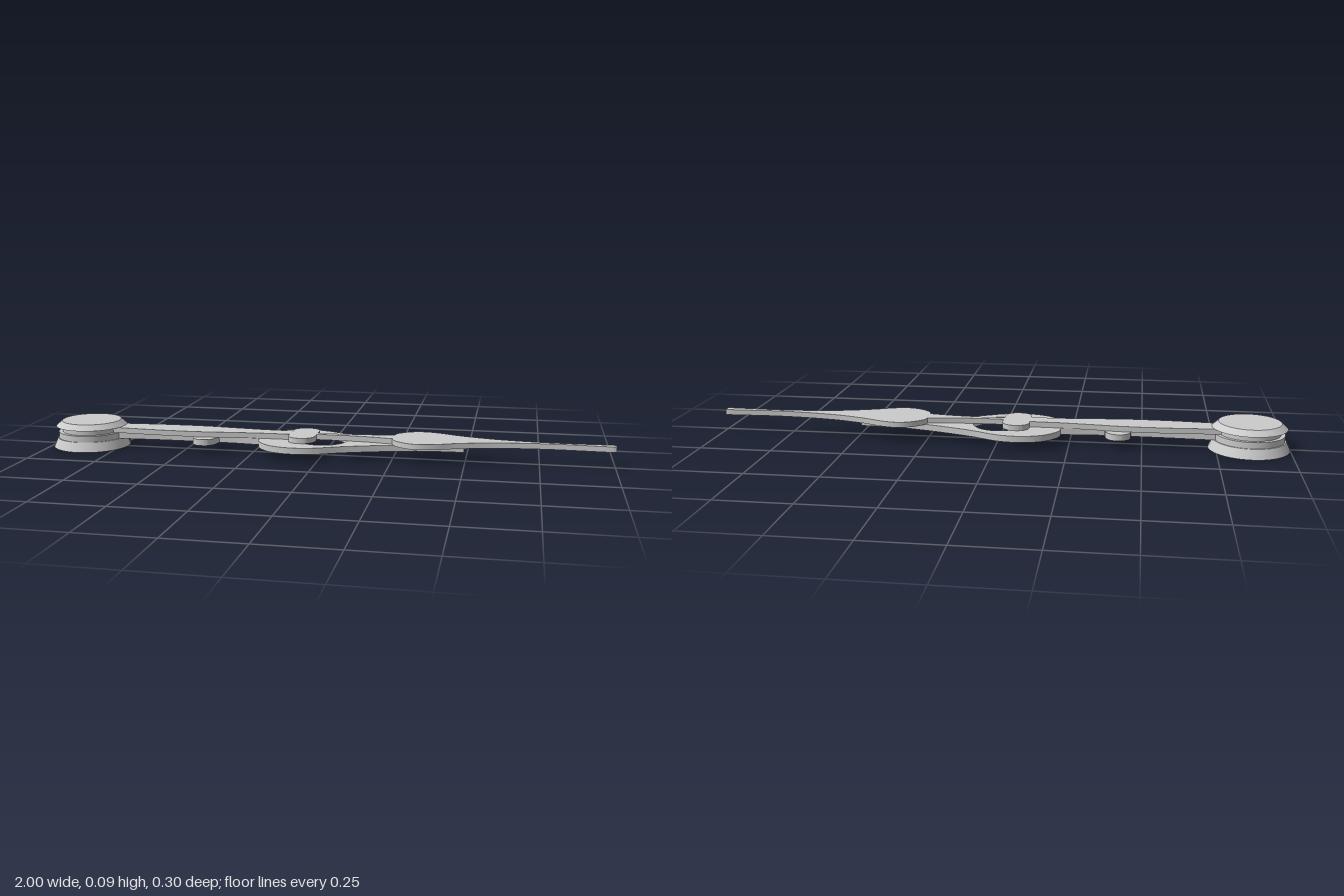
import * as THREE from 'three';
import { toCreasedNormals } from 'three/addons/utils/BufferGeometryUtils.js';

const material = new THREE.MeshStandardMaterial({ color: 0xcccccc });
const HUB_X = -0.863;

function addMesh(parent, name, geometry) {
  const mesh = new THREE.Mesh(toCreasedNormals(geometry, 0.6), material);
  mesh.name = name;
  parent.add(mesh);
  return mesh;
}

// Symmetric outline from [x, half width] runs; each run is a smooth curve, joints stay sharp
function mirroredShape(runs) {
  const edge = [];
  for (const run of runs) {
    const curve = new THREE.SplineCurve(run.map(([x, w]) => new THREE.Vector2(x, w)));
    edge.push(...curve.getPoints(run.length > 2 ? run.length * 5 : 1).slice(edge.length ? 1 : 0));
  }
  const back = edge.map((p) => new THREE.Vector2(p.x, -p.y));
  return new THREE.Shape([...back, ...edge.reverse()]);
}

// Flat plate lying in the xz plane between two heights
function plate(shape, y0, y1) {
  const geometry = new THREE.ExtrudeGeometry(shape, { depth: y1 - y0, bevelEnabled: false, curveSegments: 32 });
  return geometry.rotateX(-Math.PI / 2).translate(0, y0, 0);
}

// Round hub layer with separate bottom and top radius
function hubDisc(y0, y1, r0, r1) {
  return new THREE.CylinderGeometry(r1, r0, y1 - y0, 48).translate(HUB_X, (y0 + y1) / 2, 0);
}

export function createModel() {
  const model = new THREE.Group();
  model.name = 'clockHands';

  // Hub: flared base, collars and bevelled cap
  const hub = new THREE.Group();
  hub.name = 'hub';
  addMesh(hub, 'hubBase', hubDisc(0, 0.033, 0.138, 0.123));
  addMesh(hub, 'hourCollar', hubDisc(0.033, 0.055, 0.119, 0.119));
  addMesh(hub, 'minuteCollar', hubDisc(0.055, 0.075, 0.105, 0.105));
  addMesh(hub, 'hubCap', hubDisc(0.075, 0.094, 0.127, 0.106));
  model.add(hub);

  // Hour hand: slim shaft, small knuckle, pierced teardrop and pointed tip
  const hourShape = mirroredShape([
    [[HUB_X, 0.03], [-0.74, 0.03], [-0.6, 0.024], [-0.462, 0.022]],
    [[-0.462, 0.022], [-0.458, 0.06], [-0.435, 0.083], [-0.4, 0.083], [-0.378, 0.06], [-0.372, 0.022]],
    [[-0.372, 0.022], [-0.3, 0.025], [-0.22, 0.034]],
    [[-0.22, 0.034], [-0.215, 0.07], [-0.175, 0.12], [-0.12, 0.145], [-0.06, 0.15], [0, 0.137],
      [0.08, 0.1], [0.18, 0.065], [0.26, 0.042], [0.36, 0.02], [0.495, 0.012]],
  ]);
  const hole = new THREE.Path();
  hole.absarc(0, 0, 0.09, 0, Math.PI * 2, true);
  hourShape.holes.push(hole);
  addMesh(model, 'hourHand', plate(hourShape, 0.033, 0.055));

  // Minute hand: tapered arm, cross lobe, thin neck, leaf and long tip
  const minuteShape = mirroredShape([
    [[HUB_X, 0.035], [-0.74, 0.04], [-0.6, 0.049], [-0.45, 0.05], [-0.33, 0.04], [-0.22, 0.031], [-0.112, 0.029]],
    [[-0.112, 0.029], [-0.11, 0.06], [-0.092, 0.08], [-0.066, 0.086], [-0.04, 0.08], [-0.022, 0.06], [-0.018, 0.03], [-0.02, 0.012]],
    [[-0.02, 0.012], [0.08, 0.012], [0.17, 0.018], [0.25, 0.03]],
    [[0.25, 0.03], [0.262, 0.06], [0.3, 0.09], [0.345, 0.102], [0.4, 0.092], [0.47, 0.063],
      [0.57, 0.034], [0.68, 0.017], [0.8, 0.009], [0.9, 0.011], [0.99, 0.014], [1, 0.009]],
  ]);
  addMesh(model, 'minuteHand', plate(minuteShape, 0.056, 0.075));

  return model;
}
